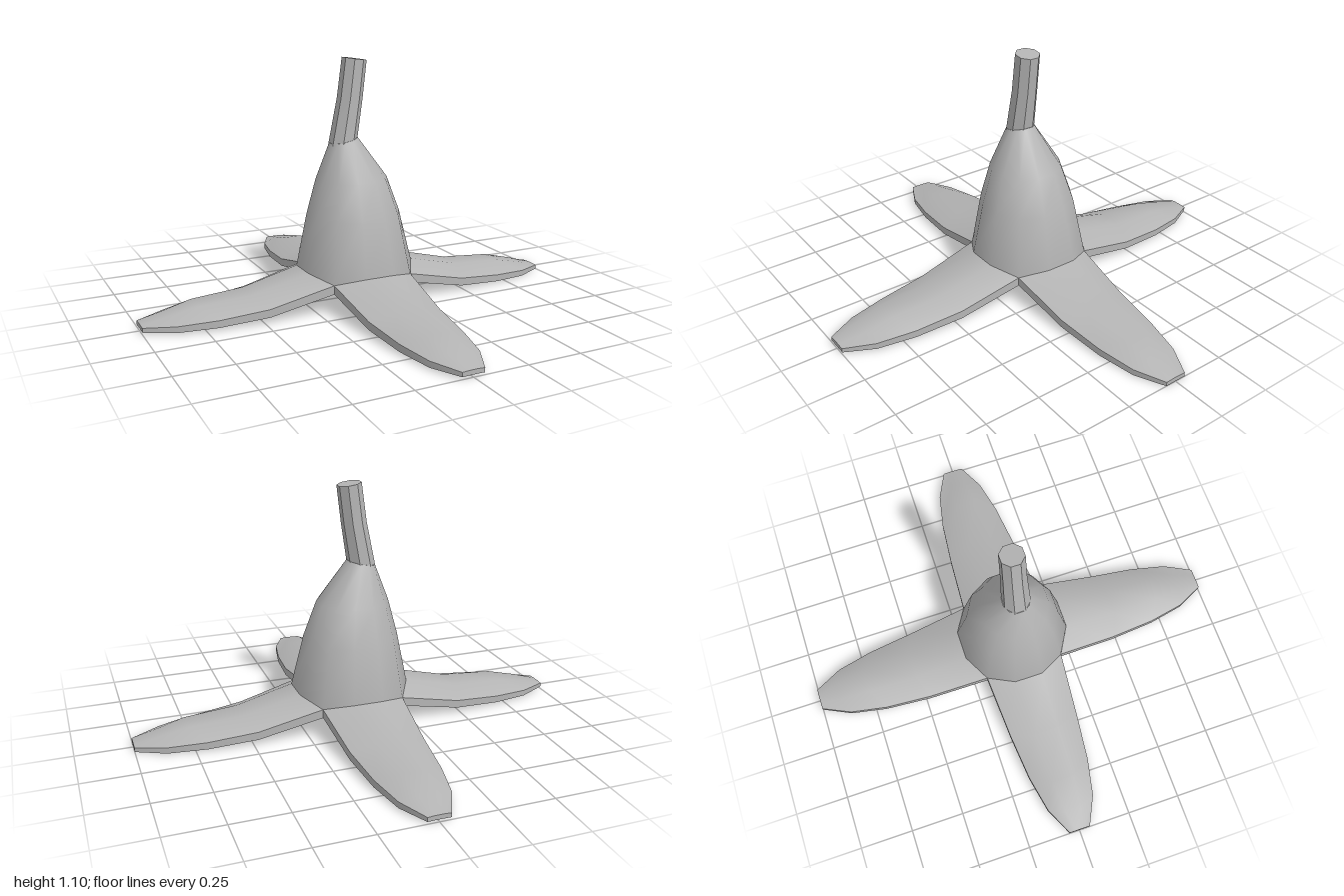
import * as THREE from 'three';
import { toCreasedNormals } from 'three/addons/utils/BufferGeometryUtils.js';

// Skin a list of equal-sized point loops, optionally closing either end
function loft(rings, capStart, capEnd, crease = 0.68) {
  const pos = [];
  const n = rings[0].length;
  const tri = (...pts) => pts.forEach((p) => pos.push(...p));
  const middle = (ring) => [0, 1, 2].map((k) => ring.reduce((s, p) => s + p[k], 0) / n);
  for (let i = 0; i < rings.length - 1; i++) {
    const a = rings[i], b = rings[i + 1];
    for (let j = 0; j < n; j++) {
      const k = (j + 1) % n;
      tri(a[j], b[j], a[k]);
      tri(b[j], b[k], a[k]);
    }
  }
  const first = rings[0], last = rings[rings.length - 1];
  for (let j = 0; j < n; j++) {
    const k = (j + 1) % n;
    if (capStart) tri(middle(first), first[j], first[k]);
    if (capEnd) tri(middle(last), last[k], last[j]);
  }
  const geo = new THREE.BufferGeometry();
  geo.setAttribute('position', new THREE.Float32BufferAttribute(pos, 3));
  return toCreasedNormals(geo, crease);
}

// Regular ring round a vertical axis, with a height slope along x
function ring(sides, cx, y, r, slope = 0, cornerDrop = 0) {
  return Array.from({ length: sides }, (_, i) => {
    const a = ((i + 0.5) / sides) * Math.PI * 2;
    const dx = Math.cos(a) * r;
    return [cx + dx, y + slope * dx - (i % 3 === 1 ? cornerDrop : 0), Math.sin(a) * r];
  });
}

// Leaf stations: rim x, ridge x, half width, ridge y, rim y, underside ridge y, underside rim y
const LEAF = [
  [0.19, 0.259, 0.19, 0.17, 0.14, 0.12, 0.1],
  [0.48, 0.52, 0.17, 0.108, 0.072, 0.055, 0.036],
  [0.7, 0.76, 0.148, 0.093, 0.052, 0.04, 0.02],
  [0.87, 0.9, 0.113, 0.062, 0.042, 0.025, 0.015],
  [1, 1, 0.05, 0.038, 0.036, 0.018, 0.017],
];

function leafGeometry(droop) {
  const rings = LEAF.map(([xe, xm, w, ym, ye, bm, be], i) => {
    const d = (droop * i) / (LEAF.length - 1);
    const m = i === 0 ? 0.069 : w * 0.36;
    return [
      [xe, ye - d, w], [xm, ym - d, m], [xm, ym - d, -m], [xe, ye - d, -w],
      [xe, be - d, -w], [xm, bm - d, -m], [xm, bm - d, m], [xe, be - d, w],
    ];
  });
  return loft(rings, false, true);
}

export function createModel() {
  const group = new THREE.Group();
  const grey = new THREE.MeshStandardMaterial({ color: 0xb4b4b4 });
  grey.name = 'plain grey';

  const add = (name, geo) => {
    const mesh = new THREE.Mesh(geo, grey);
    mesh.name = name;
    group.add(mesh);
    return mesh;
  };

  // Bell-shaped body with its closed underside
  add('body', loft([
    ring(12, 0, 0.12, 0.268, 0, 0.02),
    ring(12, 0, 0.17, 0.268, 0, 0.03),
    ring(12, -0.006, 0.41, 0.214),
    ring(12, -0.015, 0.57, 0.163),
    ring(12, -0.055, 0.745, 0.064, 0.2),
  ], true, true));

  // Bent stem
  add('stem', loft([
    ring(8, -0.057, 0.735, 0.065, 0.2),
    ring(8, -0.022, 0.93, 0.057, -0.05),
    ring(8, 0, 1.103, 0.055, -0.14),
  ], false, true));

  // Four spreading leaves
  ['left', 'back', 'right', 'front'].forEach((side, i) => {
    const leaf = add(side + 'Leaf', leafGeometry(i === 0 ? 0.01 : 0));
    leaf.rotation.y = (i * Math.PI) / 2;
  });

  return group;
}
